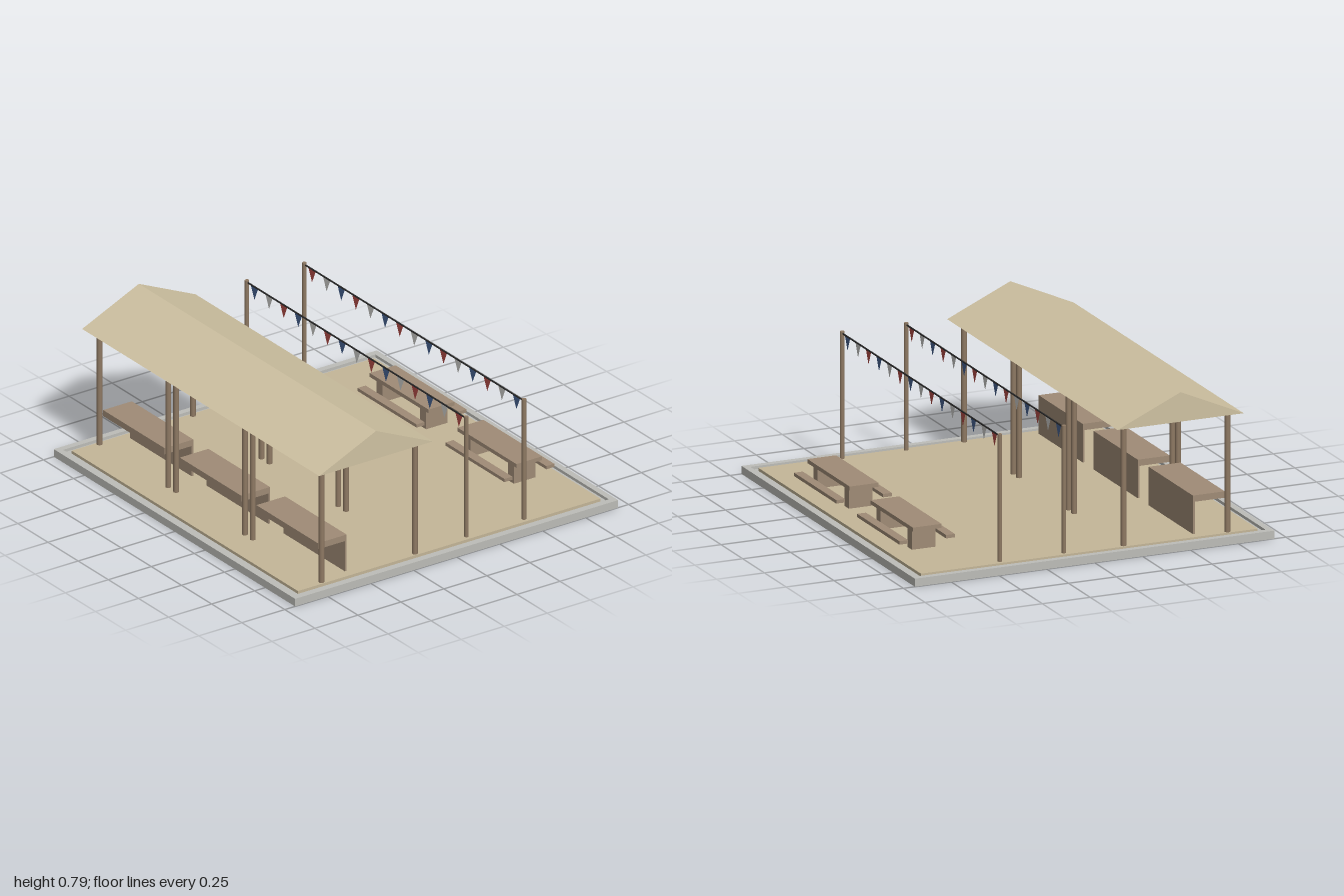
import * as THREE from 'three';

const mat = (name, color, side = THREE.FrontSide) => {
  const m = new THREE.MeshStandardMaterial({ color, side });
  m.name = name;
  return m;
};

export function createModel() {
  const stone = mat('stone', 0xbdbdb8);
  const sand = mat('sand', 0xc4b698);
  const canvas = mat('roofCanvas', 0xcfc2a2);
  const wood = mat('wood', 0x9f8b76);
  const postWood = mat('postWood', 0x8f7a64);
  const cord = mat('cord', 0x2c2c2c);
  const red = mat('redCloth', 0xb04a45, THREE.DoubleSide);
  const white = mat('whiteCloth', 0xc9c9c6, THREE.DoubleSide);
  const blue = mat('blueCloth', 0x44608f, THREE.DoubleSide);

  const model = new THREE.Group();
  model.name = 'marketCourt';

  const add = (parent, name, geometry, material, x = 0, y = 0, z = 0) => {
    const mesh = new THREE.Mesh(geometry, material);
    mesh.name = name;
    mesh.position.set(x, y, z);
    parent.add(mesh);
    return mesh;
  };
  // Box given by its limits on each axis
  const box = (parent, name, material, [x0, x1], [y0, y1], [z0, z1]) =>
    add(parent, name, new THREE.BoxGeometry(x1 - x0, y1 - y0, z1 - z0), material,
      (x0 + x1) / 2, (y0 + y1) / 2, (z0 + z1) / 2);
  const post = (parent, name, x, z, r, top) =>
    add(parent, name, new THREE.CylinderGeometry(r, r, top - 0.04, 10), postWood, x, (top + 0.04) / 2, z);
  const group = (name, x = 0, z = 0) => {
    const g = new THREE.Group();
    g.name = name;
    g.position.set(x, 0, z);
    model.add(g);
    return g;
  };

  // Ground: slab, raised kerb, and sand bed with a narrow gutter around it
  const ground = group('ground');
  box(ground, 'slab', stone, [-1, 1], [0, 0.025], [-0.94, 0.94]);
  const rect = (P, w, d) => {
    const p = new P();
    p.moveTo(-w, -d);
    p.lineTo(w, -d);
    p.lineTo(w, d);
    p.lineTo(-w, d);
    p.closePath();
    return p;
  };
  const kerbShape = rect(THREE.Shape, 1, 0.94);
  kerbShape.holes.push(rect(THREE.Path, 0.968, 0.908));
  const kerb = new THREE.ExtrudeGeometry(kerbShape, { depth: 0.015, bevelEnabled: false });
  kerb.rotateX(-Math.PI / 2);
  add(ground, 'kerb', kerb, stone, 0, 0.025, 0);
  box(ground, 'sandBed', sand, [-0.938, 0.938], [0.025, 0.04], [-0.88, 0.88]);

  // Long gabled roof over the stalls
  const gable = new THREE.Shape([
    new THREE.Vector2(-0.33, 0), new THREE.Vector2(0.33, 0), new THREE.Vector2(0, 0.147),
  ]);
  const roof = new THREE.ExtrudeGeometry(gable, { depth: 1.966, bevelEnabled: false });
  roof.translate(0, 0, -0.983);
  roof.rotateY(Math.PI / 2);
  add(model, 'roof', roof, canvas, 0, 0.64, 0.457);

  // Three stalls: four posts, counter top and panel
  for (const x of [-0.635, 0, 0.635]) {
    const stall = group('stall', x);
    for (const sx of [-1, 1])
      for (const z of [0.187, 0.73]) post(stall, 'stallPost', sx * 0.285, z, 0.014, 0.645);
    box(stall, 'counterTop', wood, [-0.255, 0.255], [0.2, 0.232], [0.563, 0.73]);
    box(stall, 'counterPanel', wood, [-0.255, 0.255], [0.04, 0.2], [0.563, 0.573]);
  }

  // Two picnic tables with benches on both sides
  for (const x of [-0.364, 0.364]) {
    const table = group('picnicTable', x, -0.698);
    box(table, 'tableTop', wood, [-0.244, 0.244], [0.143, 0.163], [-0.075, 0.075]);
    for (const s of [-1, 1]) {
      box(table, 'tableLeg', wood, [s * 0.18 - 0.025, s * 0.18 + 0.025], [0.04, 0.143], [-0.062, 0.062]);
      box(table, 'bench', wood, [-0.244, 0.244], [0.087, 0.104], [s * 0.122 - 0.023, s * 0.122 + 0.023]);
    }
  }

  // Bunting: pole pairs, cord and fifteen pennants in repeating colours
  const pennant = new THREE.ShapeGeometry(new THREE.Shape([
    new THREE.Vector2(-0.031, 0), new THREE.Vector2(0, -0.07), new THREE.Vector2(0.031, 0),
  ]));
  const bunting = (z, colours) => {
    const row = group('bunting', 0, z);
    for (const s of [-1, 1]) post(row, 'buntingPole', s * 0.91, 0, 0.011, 0.675);
    box(row, 'buntingCord', cord, [-0.91, 0.91], [0.662, 0.668], [-0.003, 0.003]);
    for (let i = 0; i < 15; i++)
      add(row, 'pennant', pennant, colours[i % 3], (i - 7) * 0.121, 0.665, 0);
  };
  bunting(-0.12, [blue, white, red]);
  bunting(-0.455, [red, white, blue]);

  return model;
}
